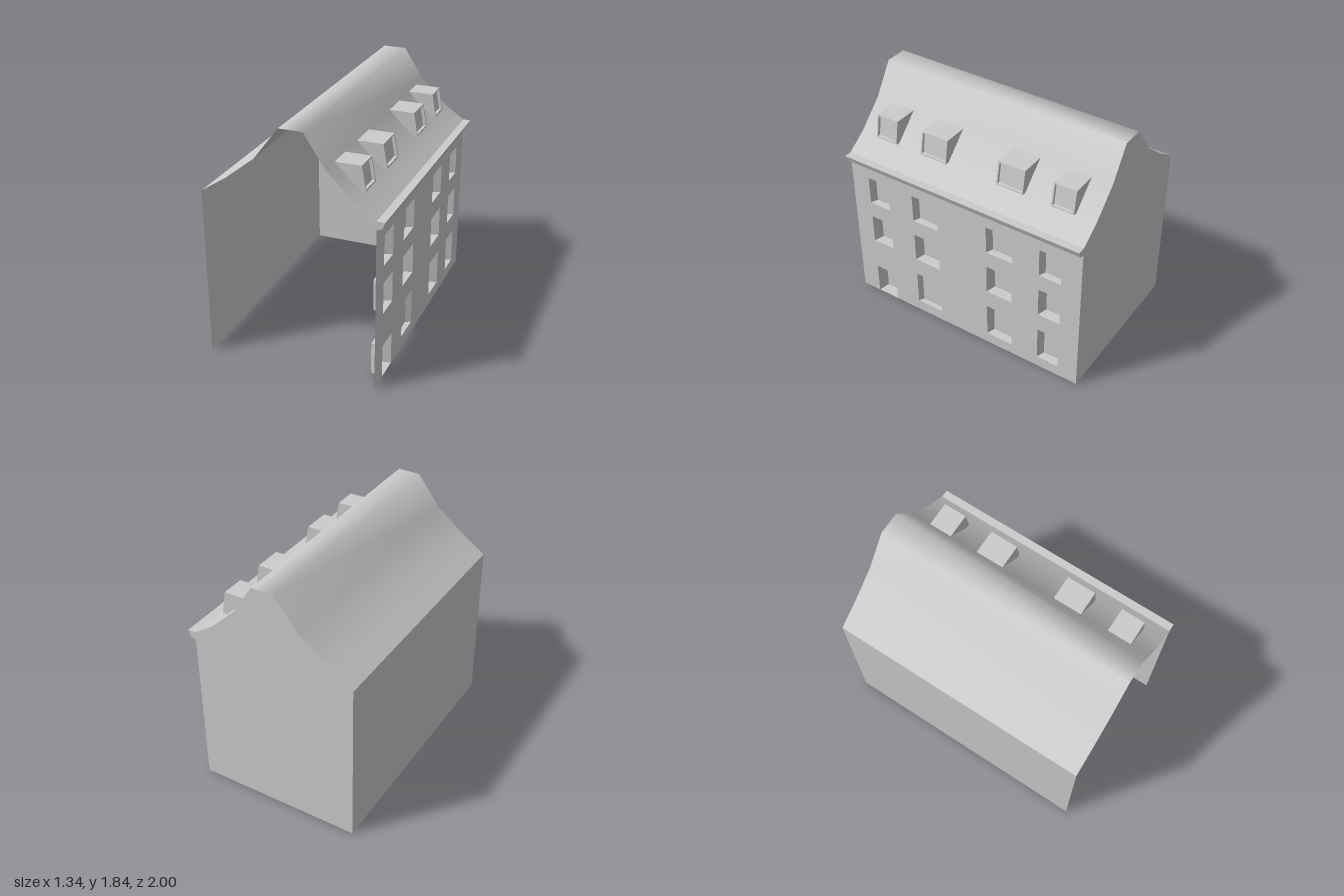
import * as THREE from 'three';

const material = new THREE.MeshStandardMaterial({ color: 0xcccccc, side: THREE.DoubleSide });
const WALL = 0.61, LEFT = -0.67, EAVE = 1.3;

// Roof cross-section from left eave to right eave
const roofLine = [
  [LEFT, EAVE], [-0.48, 1.425], [-0.26, 1.6], [-0.075, 1.84],
  [0.1, 1.84], [0.255, 1.6], [0.45, 1.41], [WALL, EAVE],
];

// Bays along the street wall (z range), then the storeys (y range and pane depth)
const bays = [[0.66, 0.845], [0.215, 0.44], [-0.435, -0.215], [-0.84, -0.66]];
const storeys = [
  { y: [0.09, 0.37], pane: [0.52, 0.57, 0.545, 0.545] },
  { y: [0.52, 0.76], pane: [0.53, 0.53, 0.53, 0.53] },
  { y: [0.895, 1.125], pane: [0.555, 0.555, 0.555, 0.555] },
];
const DOOR_TOP = 0.255;

function addMesh(parent, name, geometry) {
  const mesh = new THREE.Mesh(geometry, material);
  mesh.name = name;
  parent.add(mesh);
  return mesh;
}

// Flat-shaded surface from quads, each a list of four [x, y, z] corners
function quads(list) {
  const geometry = new THREE.BufferGeometry();
  const positions = list.flatMap(([a, b, c, d]) => [a, b, c, a, c, d]).flat();
  geometry.setAttribute('position', new THREE.Float32BufferAttribute(positions, 3));
  geometry.computeVertexNormals();
  return geometry;
}

// Quads joining two four-cornered loops
function band(a, b) {
  return a.map((p, i) => [p, a[(i + 1) % 4], b[(i + 1) % 4], b[i]]);
}

// Upright rectangle facing +x; bottom and top may have different x
function rect(xBottom, xTop, y0, y1, z0, z1) {
  return [[xBottom, y0, z1], [xBottom, y0, z0], [xTop, y1, z0], [xTop, y1, z1]];
}

function polygon(points) {
  return new THREE.Shape(points.map(([x, y]) => new THREE.Vector2(x, y)));
}

// Splayed opening set back into the wall, closed by a pane
function recess(paneX, y0, y1, z0, z1, splay, topDrop = 0) {
  const outer = rect(WALL, WALL, y0, y1, z0, z1);
  const inner = rect(paneX, paneX, y0, y1 - topDrop, z0 + splay, z1 - splay);
  return quads([...band(outer, inner), inner]);
}

function streetWall() {
  // Drawn with u = -z, then turned to face +x; the door is a notch in the outline
  const [d0, d1] = bays[0];
  const shape = polygon([
    [-1, 0], [-d1, 0], [-d1, DOOR_TOP], [-d0, DOOR_TOP], [-d0, 0],
    [1, 0], [1, EAVE], [-1, EAVE],
  ]);
  storeys.forEach(({ y: [y0, y1] }, s) => bays.forEach(([z0, z1], b) => {
    if (s === 0 && b === 0) return;
    shape.holes.push(polygon([[-z1, y0], [-z1, y1], [-z0, y1], [-z0, y0]]));
  }));
  return new THREE.ShapeGeometry(shape).rotateY(Math.PI / 2).translate(WALL, 0, 0);
}

function roofSurface() {
  const geometry = new THREE.PlaneGeometry(1, 1, roofLine.length - 1, 1);
  const position = geometry.attributes.position;
  for (let i = 0; i < position.count; i++) {
    const [x, y] = roofLine[i % roofLine.length];
    position.setXYZ(i, x, y, i < roofLine.length ? -1 : 1);
  }
  geometry.computeVertexNormals();
  return geometry;
}

// Flat-topped dormer with a leaning front, a thin frame and a recessed pane
function dormer(z0, z1) {
  const front = rect(0.478, 0.447, 1.42, 1.6, z0, z1);
  const back = rect(0.445, 0.255, 1.415, 1.6, z0, z1);
  const rim = rect(0.476, 0.449, 1.432, 1.588, z0 + 0.012, z1 - 0.012);
  const pane = rim.map(([x, y, z]) => [x - 0.022, y, z]);
  return quads([...band(back, front), ...band(front, rim), ...band(rim, pane), pane]);
}

export function createModel() {
  const house = new THREE.Group();
  house.name = 'townHouse';

  // Shell: open underneath and at the front end
  addMesh(house, 'streetWall', streetWall());
  addMesh(house, 'rearWall', quads([
    [[LEFT, 0, -1], [LEFT, 0, 1], [LEFT, EAVE, 1], [LEFT, EAVE, -1]],
  ]));
  const gable = polygon([[WALL, 0], ...[...roofLine].reverse(), [LEFT, 0]]);
  addMesh(house, 'gableWall', new THREE.ShapeGeometry(gable).rotateY(Math.PI)
    .scale(-1, 1, 1).translate(0, 0, -1));
  addMesh(house, 'roof', roofSurface());

  // Cornice along the street eave
  const cornice = polygon([[WALL, 1.235], [0.65, 1.25], [0.67, EAVE], [WALL, EAVE]]);
  addMesh(house, 'cornice', new THREE.ExtrudeGeometry(cornice, { depth: 2, bevelEnabled: false })
    .translate(0, 0, -1));

  // Windows, with the door in the first bay of the ground floor
  const openings = new THREE.Group();
  openings.name = 'openings';
  house.add(openings);
  storeys.forEach(({ y: [y0, y1], pane }, s) => bays.forEach(([z0, z1], b) => {
    if (s === 0 && b === 0) {
      addMesh(openings, 'door', recess(pane[b], 0, DOOR_TOP, z0, z1, 0.017, 0.01));
    } else {
      addMesh(openings, 'window', recess(pane[b], y0, y1, z0, z1, 0.022));
    }
  }));

  // One dormer above each bay
  bays.forEach(([z0, z1]) => addMesh(house, 'dormer', dormer(z0, z1)));

  return house;
}
